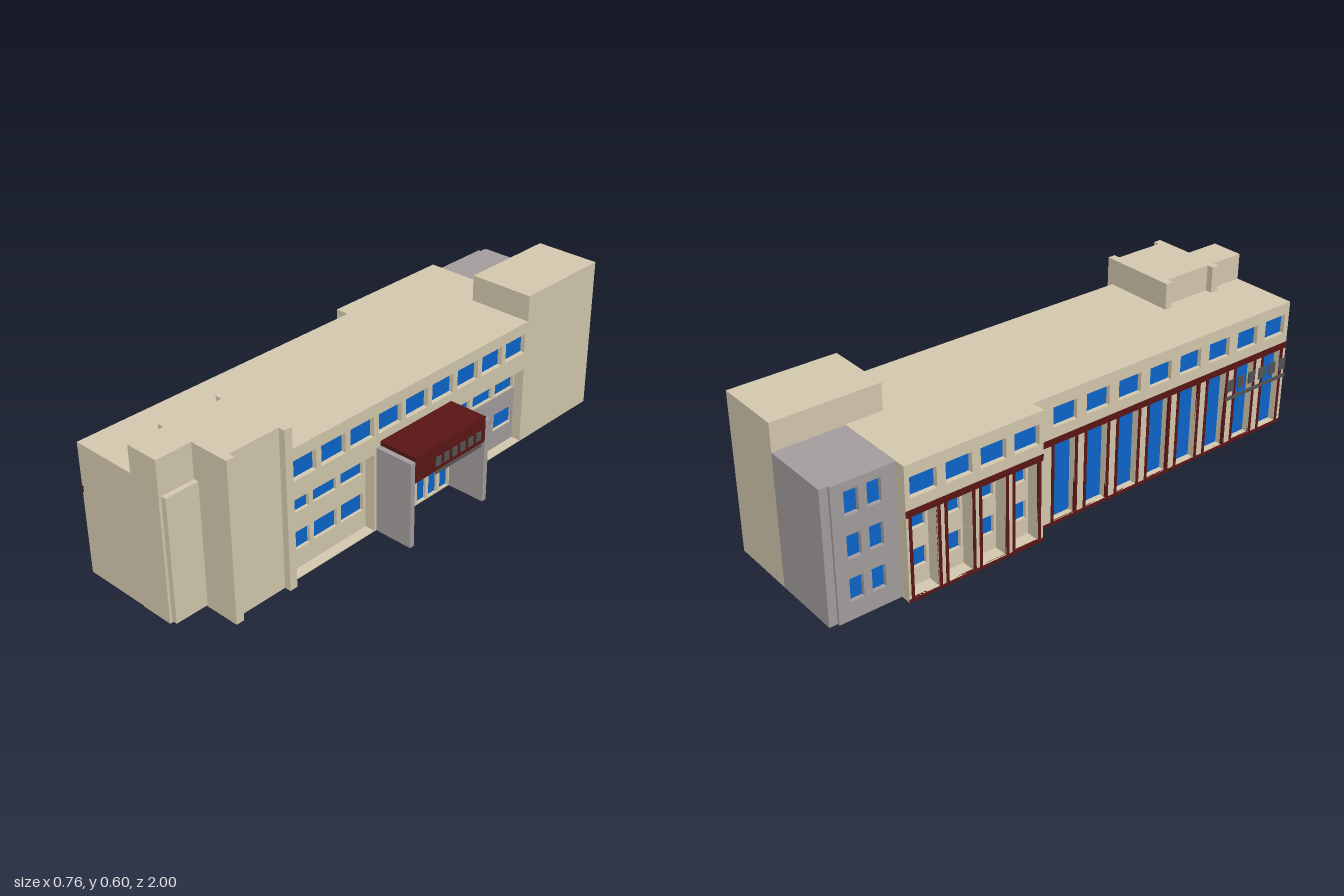
import * as THREE from 'three';

const mat = (color) => new THREE.MeshStandardMaterial({ color });
const BEIGE = mat(0xd6cab0), BLUE = mat(0x0c66cc), RED = mat(0x5c1616), GREY = mat(0xa59f9f), DARK = mat(0x555555);

export function createModel() {
  const root = new THREE.Group();
  root.name = 'building';

  // Box given by its limits on each axis
  function box(name, material, x0, x1, y0, y1, z0, z1) {
    const m = new THREE.Mesh(new THREE.BoxGeometry(x1 - x0, y1 - y0, z1 - z0), material);
    m.position.set((x0 + x1) / 2, (y0 + y1) / 2, (z0 + z1) / 2);
    m.name = name;
    root.add(m);
    return m;
  }

  // Wall in the z-y plane with rectangular openings [z0, z1, y0, y1]
  function wall(name, material, x0, x1, y0, y1, z0, z1, holes) {
    const rect = (P, a, b, c, d) => {
      const p = new P();
      p.moveTo(a, c).lineTo(b, c).lineTo(b, d).lineTo(a, d).closePath();
      return p;
    };
    const shape = rect(THREE.Shape, z0, z1, y0, y1);
    for (const h of holes) shape.holes.push(rect(THREE.Path, ...h));
    const g = new THREE.ExtrudeGeometry(shape, { depth: x1 - x0, bevelEnabled: false });
    g.rotateY(-Math.PI / 2).translate(x1, 0, 0);
    const m = new THREE.Mesh(g, material);
    m.name = name;
    root.add(m);
  }

  const glaze = (holes, x0, x1) => {
    for (const [a, b, c, d] of holes) box('windowGlass', BLUE, x0, x1, c, d, a, b);
  };
  const around = (centres, w, y0, y1) => centres.map((c) => [c - w / 2, c + w / 2, y0, y1]);
  const row = (n, first, step) => Array.from({ length: n }, (_, i) => first + i * step);

  // Inner mass of the building
  box('mainCore', BEIGE, -0.29, 0.06, 0.003, 0.5, -0.74, 1);
  box('eastCore', BEIGE, 0, 0.13, 0.003, 0.5, -0.6, 0.86);

  // East facade: top windows, two recessed bays, glazed entrance
  const eastTop = around(row(9, -0.532, 0.133), 0.11, 0.38, 0.455);
  const doors = row(6, -0.15, 0.06);
  const entrance = [...around(doors, 0.045, 0.01, 0.16), ...around(doors, 0.045, 0.175, 0.24)];
  const bays = [[-0.59, -0.21, 0.006, 0.31], [0.21, 0.59, 0.006, 0.31]];
  wall('eastFacade', BEIGE, 0.13, 0.19, 0.003, 0.5, -0.6, 0.86, [...eastTop, ...entrance, ...bays]);
  glaze(eastTop, 0.12, 0.172);
  glaze(entrance, 0.12, 0.18);
  const eastLow = [];
  for (const s of [-1, 1])
    for (const [y0, y1] of [[0.08, 0.15], [0.225, 0.295]])
      eastLow.push(...around(row(3, 0.277, 0.126).map((z) => s * z), 0.106, y0, y1));
  wall('eastRecessedWall', BEIGE, 0.125, 0.15, 0.003, 0.32, -0.595, 0.595, eastLow);
  glaze(eastLow, 0.12, 0.138);
  // Grey cladding in the north bay
  const clad = [[-0.578, -0.471, 0.08, 0.15], [-0.456, -0.35, 0.08, 0.15]];
  wall('greyCladding', GREY, 0.149, 0.152, 0.006, 0.222, -0.588, -0.34, clad);

  // Entrance canopy
  box('canopyRoof', RED, 0.19, 0.343, 0.25, 0.35, -0.18, 0.18);
  for (const s of [-1, 1]) {
    box('canopySideWall', GREY, 0.18, 0.343, 0.003, 0.333, Math.min(s * 0.18, s * 0.2), Math.max(s * 0.18, s * 0.2));
  }

  // West facade: top windows and tall glazed bays between piers
  const westC = row(8, -0.07, 0.1425);
  const westTop = around(westC, 0.1, 0.38, 0.455);
  const westTall = around(westC, 0.09, 0.015, 0.315);
  wall('westFacade', BEIGE, -0.328, -0.285, 0.003, 0.5, -0.22, 1, [...westTop, ...westTall]);
  glaze(westTop, -0.312, -0.28);
  glaze(westTall, -0.3, -0.28);

  // West wing with open bays in front of a recessed wall
  const wingC = row(4, -0.672, 0.133);
  const wingTop = around(wingC, 0.1, 0.38, 0.455);
  const wingBays = around(wingC, 0.095, 0.015, 0.315);
  wall('wingFacade', BEIGE, -0.381, -0.325, 0.003, 0.5, -0.74, -0.205, [...wingTop, ...wingBays]);
  glaze(wingTop, -0.362, -0.28);
  const wingLow = [...around(wingC, 0.075, 0.08, 0.15), ...around(wingC, 0.075, 0.225, 0.295)];
  wall('wingRecessedWall', BEIGE, -0.328, -0.285, 0.003, 0.5, -0.74, -0.205, wingLow);
  glaze(wingLow, -0.315, -0.28);

  // Red trim around the west bays
  function trim(x, z0, z1, openings) {
    box('trimBand', RED, x - 0.002, x + 0.006, 0.315, 0.34, z0, z1);
    box('trimSill', RED, x - 0.002, x + 0.006, 0.003, 0.015, z0, z1);
    for (const [a, b] of openings) {
      box('trimUpright', RED, x - 0.002, x + 0.006, 0.015, 0.315, a - 0.012, a);
      box('trimUpright', RED, x - 0.002, x + 0.006, 0.015, 0.315, b, b + 0.012);
    }
  }
  trim(-0.328, -0.205, 1, westTall);
  trim(-0.38, -0.74, -0.205, wingBays);

  // Grey stair block at the north-west corner
  const stair = [0.07, 0.225, 0.38].flatMap((y) => around([-0.9, -0.82], 0.05, y, y + 0.085));
  box('stairBlock', GREY, -0.315, -0.067, 0.003, 0.498, -1, -0.74);
  wall('stairFacade', GREY, -0.34, -0.31, 0.003, 0.498, -0.97, -0.74, stair);
  box('stairCorner', GREY, -0.33, -0.31, 0.003, 0.498, -1, -0.97);
  glaze(stair, -0.325, -0.31);
  box('stairFoundation', GREY, -0.325, -0.067, 0.001, 0.01, -0.99, -0.48);
  box('stairFoundation', GREY, -0.067, 0.06, 0.001, 0.01, -0.87, -0.48);

  // North tower
  box('northTower', BEIGE, -0.067, 0.19, 0.003, 0.6, -1, -0.6);

  // South tower with corner fins and a low side shaft
  box('southTower', BEIGE, -0.067, 0.19, 0, 0.6, 0.6, 0.862);
  box('southTowerEnd', BEIGE, -0.067, 0.06, 0, 0.6, 0.86, 1);
  for (const z of [0.6, 0.832]) box('towerFin', BEIGE, -0.093, 0.215, 0, 0.6, z, z + 0.031);
  box('sideShaft', BEIGE, 0.05, 0.08, 0.005, 0.47, 0.86, 0.99);

  // Blank sign plates standing clear of the walls
  for (const z of row(6, -0.1, 0.041)) box('signPlate', DARK, 0.376, 0.38, 0.302, 0.335, z - 0.012, z + 0.012);
  box('signStrip', DARK, 0.376, 0.38, 0.274, 0.284, -0.115, 0.12);
  for (const z of row(6, 0.68, 0.054)) box('signPlate', DARK, -0.361, -0.357, 0.252, 0.297, z - 0.016, z + 0.016);
  box('signStrip', DARK, -0.361, -0.357, 0.218, 0.232, 0.66, 0.97);

  return root;
}
